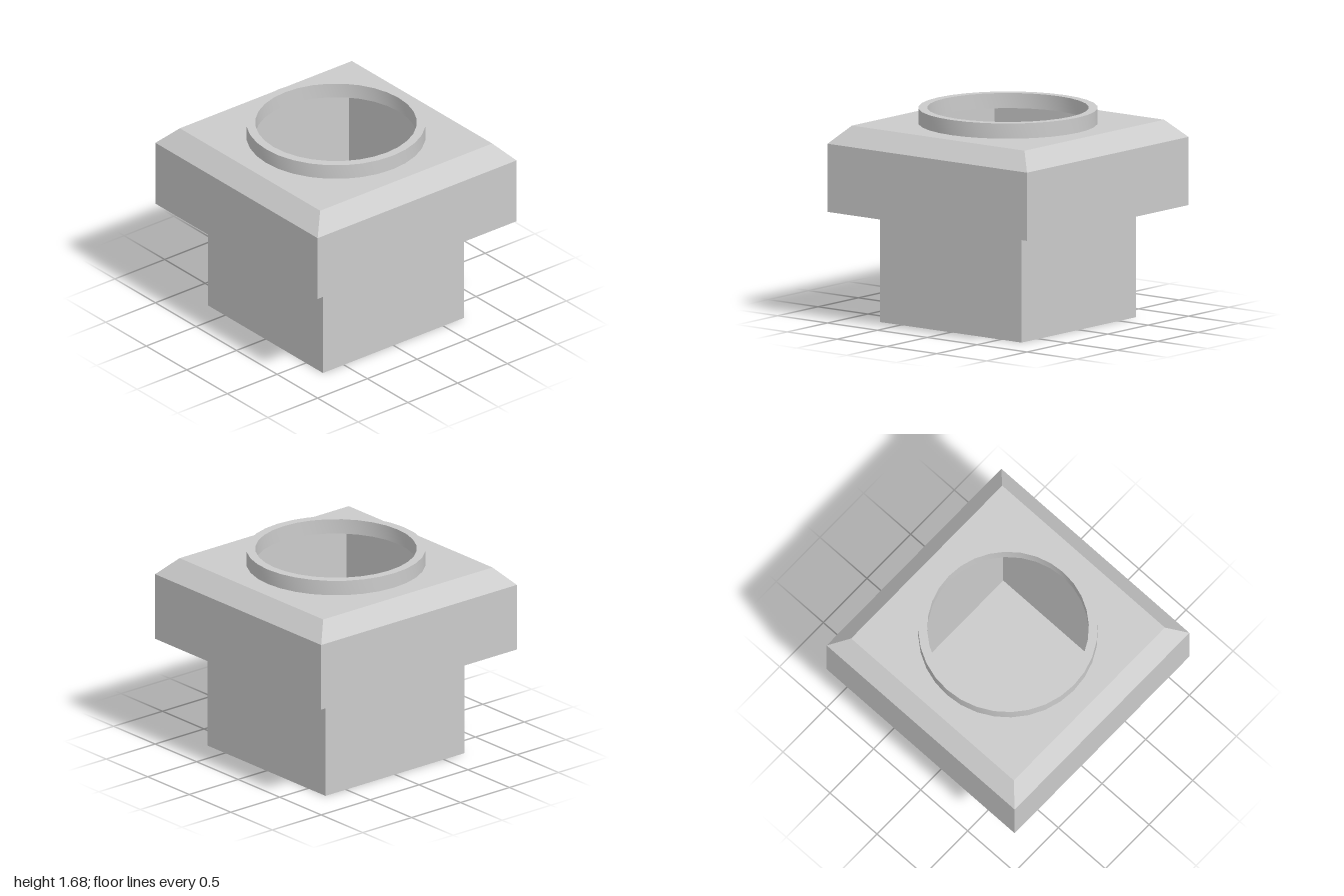
import * as THREE from 'three';
import { toCreasedNormals } from 'three/addons/utils/BufferGeometryUtils.js';

const material = new THREE.MeshStandardMaterial({ color: 0xcccccc });
const flat = new THREE.MeshStandardMaterial({ color: 0xcccccc, flatShading: true });
const thin = new THREE.MeshStandardMaterial({ color: 0xcccccc, flatShading: true, side: THREE.DoubleSide });

const BASE = 0.71, BLOCK = 1, TOP = 0.865;       // half widths
const Y_BLOCK = 0.88, Y_BEVEL = 1.42, Y_TOP = 1.56, Y_RIM = 1.68;
const R_OUT = 0.7, R_IN = 0.63, SEGMENTS = 32;

function add(group, name, geometry, mat) {
  const mesh = new THREE.Mesh(geometry, mat);
  mesh.name = name;
  group.add(mesh);
}

// Four open walls between two square outlines
function squareWalls(bottomHalf, topHalf, y0, y1) {
  const k = Math.SQRT2;
  return new THREE.CylinderGeometry(topHalf * k, bottomHalf * k, y1 - y0, 4, 1, true)
    .rotateY(Math.PI / 4)
    .translate(0, (y0 + y1) / 2, 0);
}

function squarePoints(h) {
  return [[-h, -h], [h, -h], [h, h], [-h, h]].map(([x, y]) => new THREE.Vector2(x, y));
}

// Horizontal square plate with an optional hole
function plate(half, y, up, hole) {
  const shape = new THREE.Shape(squarePoints(half));
  if (hole) shape.holes.push(hole);
  return new THREE.ShapeGeometry(shape, SEGMENTS)
    .rotateX(up ? -Math.PI / 2 : Math.PI / 2)
    .translate(0, y, 0);
}

export function createModel() {
  const model = new THREE.Group();
  model.name = 'squarePipe';

  // Hollow square shaft, running up inside the block
  add(model, 'shaftWalls', squareWalls(BASE, BASE, 0, Y_TOP), thin);
  add(model, 'shaftFloor', plate(BASE, 0, false), thin);

  // Wide block with bevelled shoulders
  add(model, 'blockUnderside', plate(BLOCK, Y_BLOCK, false, new THREE.Path(squarePoints(BASE))), flat);
  add(model, 'blockSides', squareWalls(BLOCK, BLOCK, Y_BLOCK, Y_BEVEL), flat);
  add(model, 'blockBevel', squareWalls(BLOCK, TOP, Y_BEVEL, Y_TOP), flat);

  // Top with a round opening
  const opening = new THREE.Path(Array.from({ length: SEGMENTS }, (_, i) => {
    const a = (i / SEGMENTS) * Math.PI * 2;
    return new THREE.Vector2(R_IN * Math.cos(a), R_IN * Math.sin(a));
  }));
  add(model, 'blockTop', plate(TOP, Y_TOP, true, opening), thin);

  // Raised round rim
  const profile = [[R_OUT, Y_TOP], [R_OUT, Y_RIM], [R_IN, Y_RIM], [R_IN, Y_TOP]]
    .map(([x, y]) => new THREE.Vector2(x, y));
  add(model, 'rim', toCreasedNormals(new THREE.LatheGeometry(profile, SEGMENTS), 0.6), material);

  return model;
}
